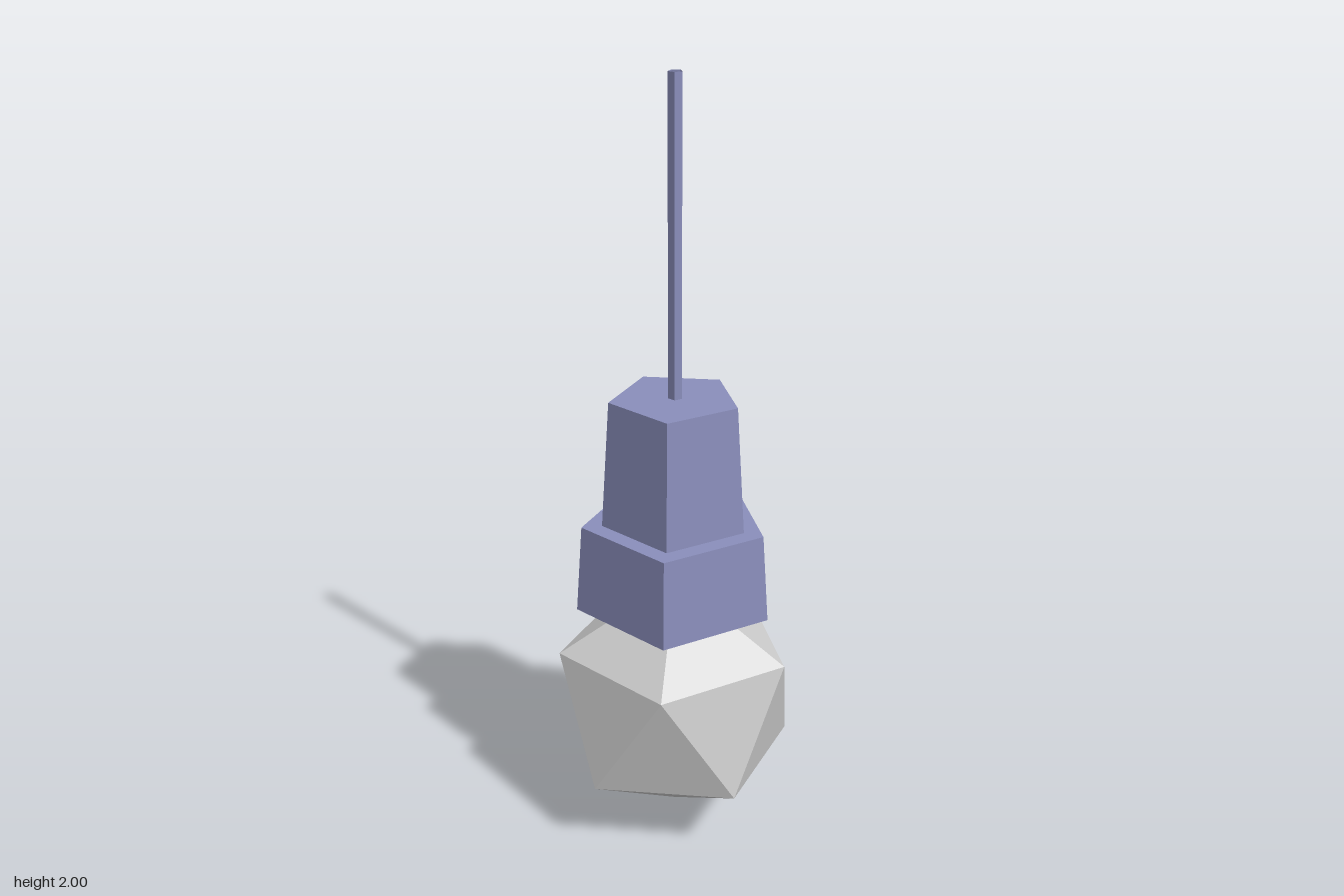
import * as THREE from 'three';

const SIDES = 5;

function material(color) {
  return new THREE.MeshStandardMaterial({ color, flatShading: true, side: THREE.DoubleSide });
}

// Five-sided shell turned from a [radius, height] profile, one corner pointing to +x
function shell(name, profile, mat) {
  const points = profile.map(([r, y]) => new THREE.Vector2(r, y));
  const mesh = new THREE.Mesh(new THREE.LatheGeometry(points, SIDES, Math.PI / 2), mat);
  mesh.name = name;
  return mesh;
}

// Icosahedral bulb, open at the top where it meets the neck
function bulbGeometry() {
  const corner = (r, y, step) => {
    const a = (step * 2 * Math.PI) / SIDES;
    return [r * Math.cos(a), y, r * Math.sin(a)];
  };
  const positions = [];
  const tri = (a, b, c) => positions.push(...a, ...b, ...c);
  const tip = [0, 0.004, 0];
  for (let i = 0; i < SIDES; i++) {
    const top0 = corner(0.155, 0.603, i), top1 = corner(0.155, 0.603, i + 1);
    const up0 = corner(0.31, 0.508, i), up1 = corner(0.31, 0.508, i + 1);
    const low0 = corner(0.31, 0.198, i + 0.5), low1 = corner(0.31, 0.198, i + 1.5);
    tri(top0, top1, up1); // shoulder
    tri(top0, up1, up0);
    tri(up0, up1, low0); // zigzag belt
    tri(up1, low1, low0);
    tri(low0, low1, tip); // bottom point
  }
  const geometry = new THREE.BufferGeometry();
  geometry.setAttribute('position', new THREE.Float32BufferAttribute(positions, 3));
  geometry.computeVertexNormals();
  return geometry;
}

export function createModel() {
  const lamp = new THREE.Group();
  lamp.name = 'pendantLamp';
  const grey = material(0xcccccc);
  const blue = material(0x8a8ebb);

  const bulb = new THREE.Mesh(bulbGeometry(), grey);
  bulb.name = 'bulb';
  lamp.add(bulb);

  // Neck rising into the recess under the collar
  lamp.add(shell('neck', [[0.155, 0.603], [0.155, 0.8]], blue));

  // Wide lower collar with a hollow underside
  lamp.add(shell('collar', [
    [0.155, 0.8], [0.235, 0.8], [0.235, 0.635], [0.26, 0.635], [0.243, 0.87], [0.19, 0.87],
  ], blue));

  // Tapered upper socket, holed for the cord
  lamp.add(shell('socket', [[0.19, 0.87], [0.168, 1.205], [0.018, 1.205]], blue));

  // Hollow hanging cord, open at the top
  lamp.add(shell('cord', [[0.018, 1.205], [0.018, 2]], blue));

  return lamp;
}
